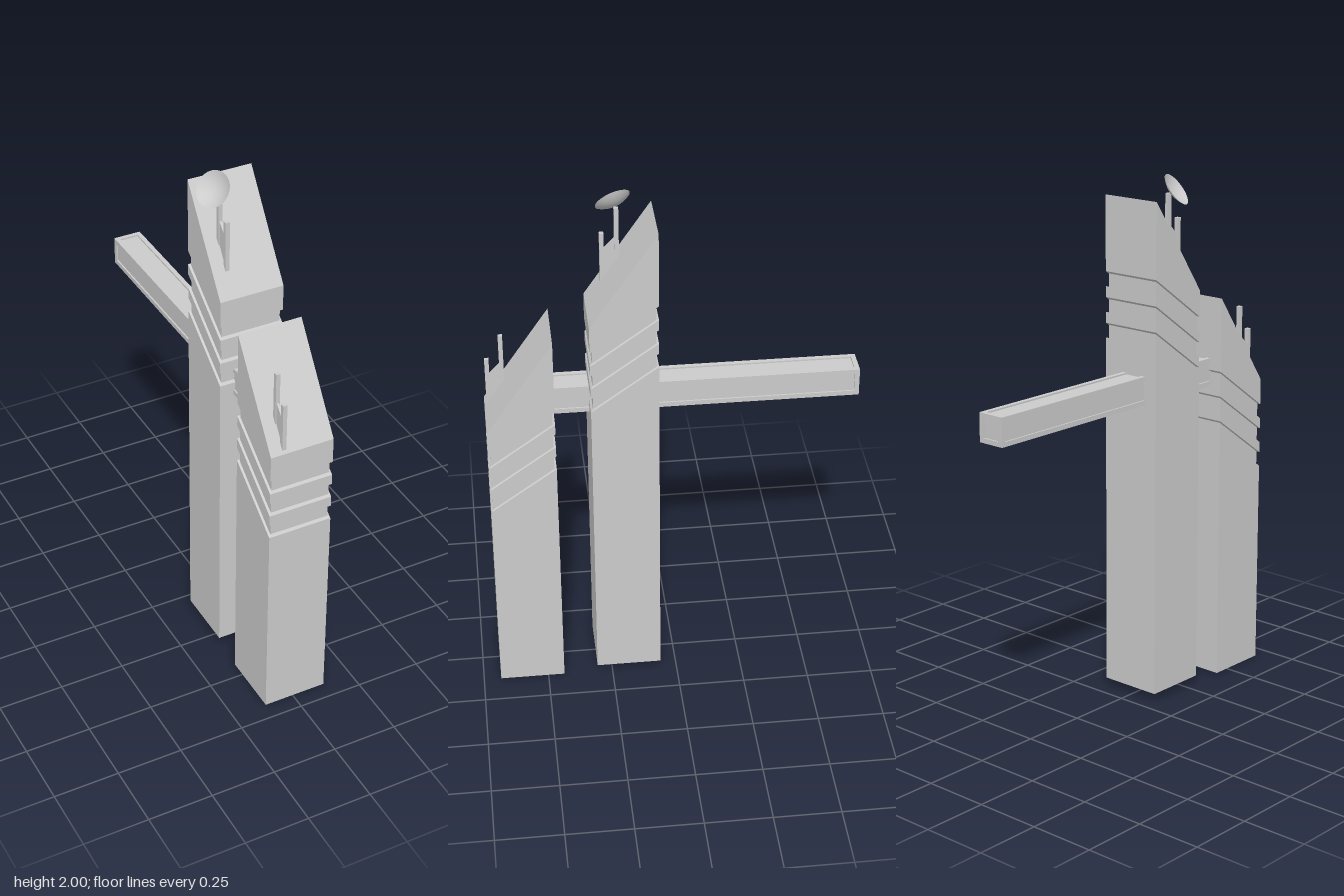
import * as THREE from 'three';

const material = new THREE.MeshStandardMaterial({ color: 0xcccccc, flatShading: true });
const smooth = new THREE.MeshStandardMaterial({ color: 0xcccccc, side: THREE.DoubleSide });

const HALF = 0.123; // half width of a tower
const CX = 0.009; // tower centre in x

function part(name, geometry, mat = material) {
  const mesh = new THREE.Mesh(geometry, mat);
  mesh.name = name;
  return mesh;
}

function box(name, w, h, d, x, y, z) {
  const mesh = part(name, new THREE.BoxGeometry(w, h, d));
  mesh.position.set(x, y, z);
  return mesh;
}

// Square shaft lofted through sloping rings of [front height, back height, inset]
function shaft(rings) {
  const corners = rings.map(([front, back, inset]) => {
    const h = HALF - inset;
    return [[h, h], [h, -h], [-h, -h], [-h, h]].map(([x, z]) => {
      const t = (HALF - z) / (2 * HALF);
      return [x, front + (back - front) * t, z];
    });
  });
  const pos = [];
  const quad = (a, b, c, d) => pos.push(...a, ...b, ...c, ...a, ...c, ...d);
  for (let r = 0; r < corners.length - 1; r++) {
    const low = corners[r], up = corners[r + 1];
    for (let i = 0; i < 4; i++) {
      const j = (i + 1) % 4;
      quad(low[i], low[j], up[j], up[i]);
    }
  }
  const top = corners[corners.length - 1];
  quad(...top);
  quad(...[...corners[0]].reverse());
  const geometry = new THREE.BufferGeometry();
  geometry.setAttribute('position', new THREE.Float32BufferAttribute(pos, 3));
  geometry.computeVertexNormals();
  return geometry;
}

// Tower with a slanted roof and three sloping grooves running all round
function tower(name, base, lift, z) {
  const rise = 0.176, inset = 0.008;
  const rings = [[base, base, 0]];
  for (let i = 0; i < 3; i++) {
    const lower = lift + 0.8 + i * 0.097, upper = lower + 0.056;
    for (const [y, d] of [[lower, 0], [lower + 0.003, inset], [upper - 0.003, inset], [upper, 0]]) {
      rings.push([y, y + rise, d]);
    }
  }
  rings.push([lift + 1.15, lift + 1.51, 0]);
  const mesh = part(name, shaft(rings));
  mesh.position.set(CX, 0, z);
  return mesh;
}

// Two roof poles joined by a thin slanted fin
function antenna(name, lift, z) {
  const group = new THREE.Group();
  group.name = name;
  const w = 0.016;
  group.add(box('shortPole', w, 0.2, w, 0, 1.247, 0.668));
  group.add(box('tallPole', w, 0.22, w, 0, 1.333, 0.615));
  const outline = new THREE.Shape([
    [-0.662, 1.16], [-0.62, 1.22], [-0.62, 1.328], [-0.662, 1.284],
  ].map(([a, b]) => new THREE.Vector2(a, b)));
  const fin = part('fin', new THREE.ExtrudeGeometry(outline, { depth: 0.008, bevelEnabled: false }));
  fin.rotation.y = Math.PI / 2;
  fin.position.x = -0.004;
  group.add(fin);
  group.position.set(-0.058, lift, z);
  return group;
}

// Long square beam: recessed core, corner rails and end frames
function beam() {
  const group = new THREE.Group();
  group.name = 'beam';
  const size = 0.108, rail = 0.018, z0 = -0.682, z1 = 0.46;
  const length = z1 - z0, off = (size - rail) / 2, recess = 0.006;
  const core = size - 2 * recess;
  group.add(box('beamCore', core, core, length - 2 * recess, 0, 0, 0));
  for (const sx of [-1, 1]) {
    for (const sy of [-1, 1]) {
      group.add(box('beamRail', rail, rail, length, sx * off, sy * off, 0));
    }
  }
  for (const s of [-1, 1]) {
    for (const e of [-1, 1]) {
      const z = e * (length - rail) / 2;
      group.add(box('endFrameBar', size - 2 * rail, rail, rail, 0, s * off, z));
      group.add(box('endFramePost', rail, size - 2 * rail, rail, s * off, 0, z));
    }
  }
  group.position.set(-0.006, 1.217, (z0 + z1) / 2);
  return group;
}

// Shallow bowl facing up and to the side
function dish() {
  const radius = 0.066, depth = 0.022, profile = [];
  for (let i = 0; i <= 8; i++) {
    const t = i / 8;
    profile.push(new THREE.Vector2(radius * t, depth * (t * t - 1)));
  }
  const mesh = part('dish', new THREE.LatheGeometry(profile, 32), smooth);
  const facing = new THREE.Vector3(-0.73, 0.6, 0.31).normalize();
  mesh.quaternion.setFromUnitVectors(new THREE.Vector3(0, 1, 0), facing);
  mesh.position.set(-0.088, 1.949, 0.2);
  return mesh;
}

export function createModel() {
  const model = new THREE.Group();
  model.name = 'twinTowers';
  model.add(tower('frontTower', 0, 0, 0.561));
  model.add(tower('rearTower', 0.03, 0.413, 0.185));
  model.add(beam());
  model.add(antenna('frontAntenna', 0, 0));
  model.add(antenna('rearAntenna', 0.49, -0.424));
  model.add(dish());
  return model;
}
